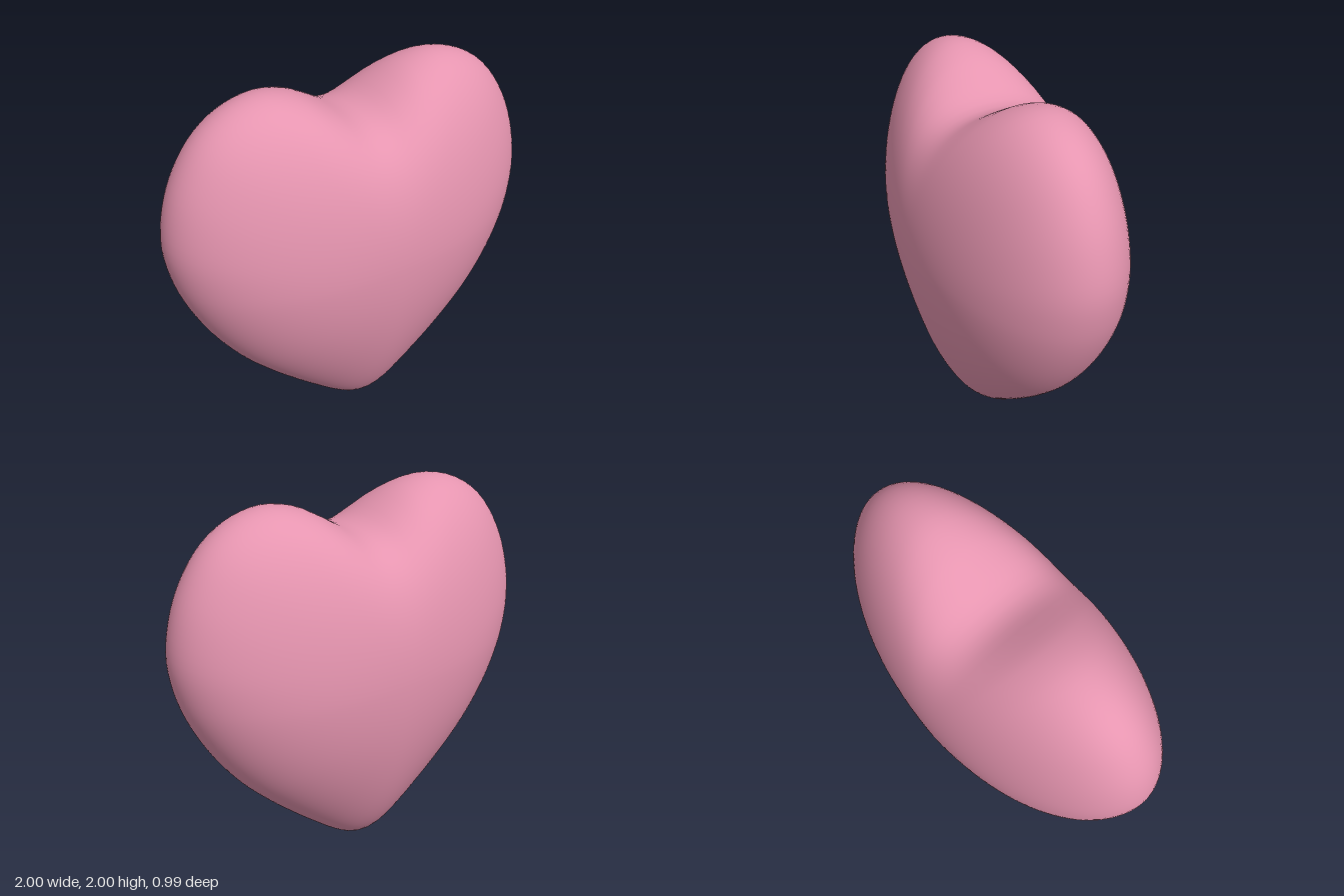
import * as THREE from 'three';
import { mergeVertices } from 'three/addons/utils/BufferGeometryUtils.js';

const SEGMENTS = 128, RINGS = 64;
const CENTRE_Y = 1.16, HALF_DEPTH = 0.493;

// Right half of the heart outline, from the notch round to the tip
const HALF_OUTLINE = [
  [0, 1.825], [0.07, 1.84], [0.2, 1.915], [0.3, 1.967], [0.45, 2], [0.59, 1.98], [0.71, 1.925],
  [0.81, 1.84], [0.905, 1.7], [0.965, 1.55], [0.998, 1.36], [0.98, 1.18], [0.93, 1.01], [0.83, 0.8],
  [0.7, 0.605], [0.56, 0.445], [0.41, 0.295], [0.28, 0.175], [0.18, 0.088], [0.08, 0.02], [0, 0],
];

function heartOutline() {
  // Counter-clockwise: down the mirrored side, back up the other
  const left = HALF_OUTLINE.map(([x, y]) => new THREE.Vector3(-x, y, 0));
  const right = HALF_OUTLINE.slice(1, -1).reverse().map(([x, y]) => new THREE.Vector3(x, y, 0));
  const curve = new THREE.CatmullRomCurve3([...left, ...right], true);
  return curve.getSpacedPoints(SEGMENTS);
}

// Radius of the notchless egg that the contours soften into towards front and back
function eggRadius(dx, dy) {
  const [height, power] = dy > 0 ? [0.85, 2] : [0.97, 1.7];
  return (Math.abs(dx) ** power + Math.abs(dy / height) ** power) ** (-1 / power);
}

// A sphere with its poles front and back, each ring reshaped from egg to outline
function heartGeometry() {
  const outline = heartOutline();
  const sphere = new THREE.SphereGeometry(1, SEGMENTS, RINGS);
  const pos = sphere.attributes.position;

  for (let ring = 0; ring <= RINGS; ring++) {
    const angle = (ring / RINGS) * Math.PI;
    const spread = ring === RINGS ? 0 : Math.sin(angle);
    const z = HALF_DEPTH * Math.cos(angle);
    for (let i = 0; i <= SEGMENTS; i++) {
      const p = outline[i % SEGMENTS];
      const radius = Math.hypot(p.x, p.y - CENTRE_Y);
      const dx = p.x / radius, dy = (p.y - CENTRE_Y) / radius;
      const r = spread * THREE.MathUtils.lerp(eggRadius(dx, dy), radius, spread ** 2);
      pos.setXYZ(ring * (SEGMENTS + 1) + i, dx * r, CENTRE_Y + dy * r, z);
    }
  }

  // Weld the seam and poles for smooth normals
  sphere.deleteAttribute('uv');
  sphere.deleteAttribute('normal');
  const geometry = mergeVertices(sphere, 1e-5);
  geometry.computeVertexNormals();
  return geometry;
}

export function createModel() {
  const group = new THREE.Group();
  group.name = 'heart';
  const body = new THREE.Mesh(heartGeometry(), new THREE.MeshStandardMaterial({ color: 0xe695b0 }));
  body.name = 'heartBody';
  group.add(body);
  return group;
}
